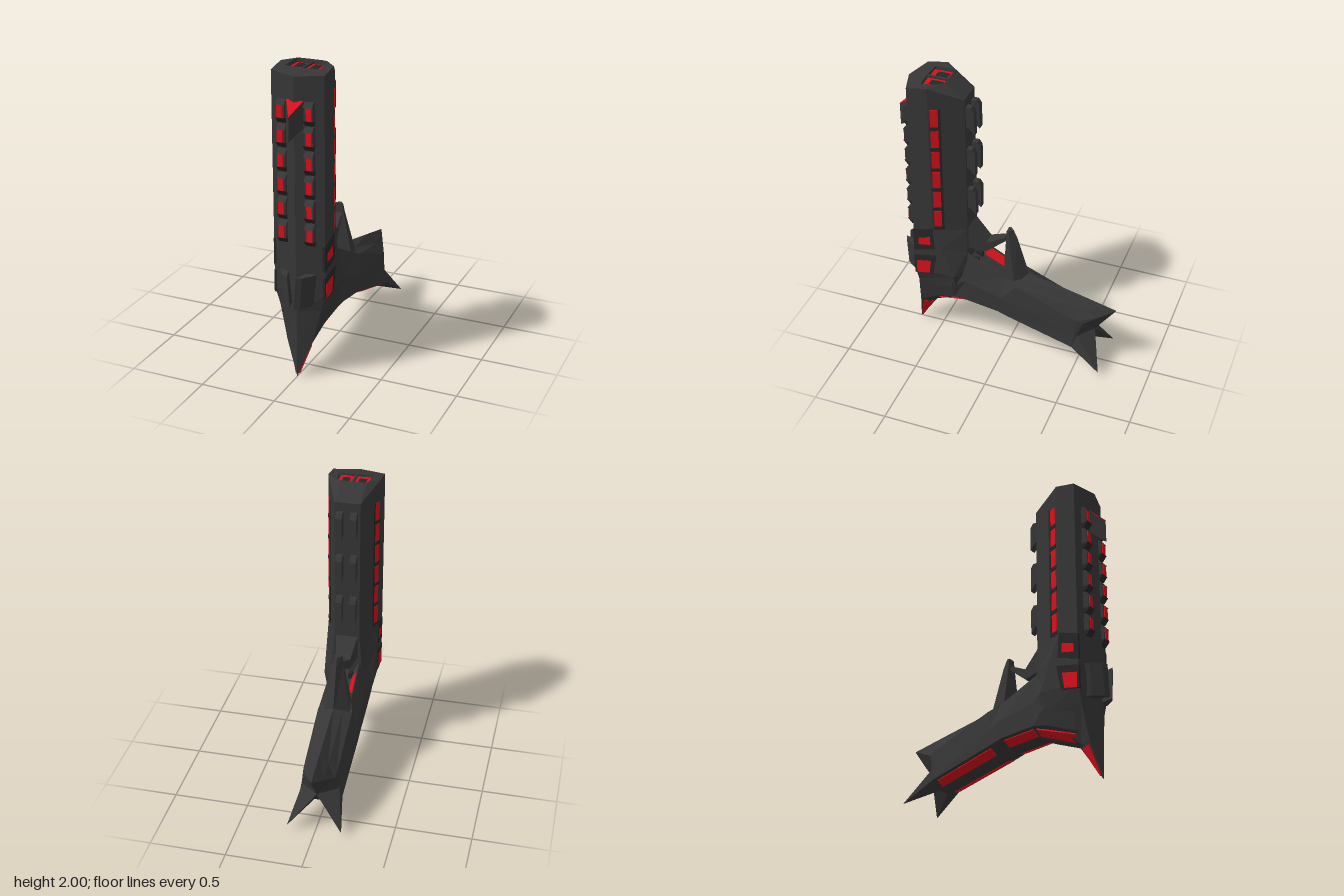
import * as THREE from 'three';

const dark = new THREE.MeshStandardMaterial({ color: 0x363636, flatShading: true });
const deep = new THREE.MeshStandardMaterial({ color: 0x262626, flatShading: true });
const red = new THREE.MeshStandardMaterial({ color: 0xd8101c, flatShading: true });
const V = (x, y, z) => new THREE.Vector3(x, y, z);

// Closed solid from polygons; the winding is turned outward by the sign of its volume
function solid(name, faces, mat) {
  const tris = [];
  let volume = 0;
  for (const f of faces) {
    for (let i = 1; i < f.length - 1; i++) {
      const [a, b, c] = [f[0], f[i], f[i + 1]];
      const n = b.clone().sub(a).cross(c.clone().sub(a));
      if (n.length() < 1e-8) continue;
      volume += a.dot(b.clone().cross(c));
      tris.push([a, b, c]);
    }
  }
  const pts = tris.flatMap(t => (volume < 0 ? [t[0], t[2], t[1]] : t));
  const geo = new THREE.BufferGeometry().setFromPoints(pts);
  geo.computeVertexNormals();
  const mesh = new THREE.Mesh(geo, mat);
  mesh.name = name;
  return mesh;
}

// Skin between rings of equal length, optionally closing the end on a centre point
function loft(name, rings, mat, endPoint) {
  const faces = [], n = rings[0].length;
  for (let r = 0; r < rings.length - 1; r++) {
    for (let i = 0; i < n; i++) {
      const j = (i + 1) % n;
      faces.push([rings[r][i], rings[r][j], rings[r + 1][j], rings[r + 1][i]]);
    }
  }
  faces.push([...rings[0]].reverse());
  const last = rings[rings.length - 1];
  if (endPoint) last.forEach((p, i) => faces.push([p, last[(i + 1) % n], endPoint]));
  else faces.push(last);
  return solid(name, faces, mat);
}

// Full ring from its +x half
const mirrorRing = half => {
  const h = half.map(p => V(...p));
  return [...h, ...h.map(p => V(-p.x, p.y, p.z)).reverse()];
};
const prism = (name, a, b, mat) => loft(name, [a, b], mat);
// Side outline of [z, y] points, given thickness along x
const plate = (name, outline, x0, x1, mat) => prism(name,
  outline.map(([z, y]) => V(x0, y, z)), outline.map(([z, y]) => V(x1, y, z)), mat);

// Thin panel laid on a four-cornered face, inset from its borders
function panel(name, quad, inU, inV, lift, mat) {
  const [a, b, c, d] = quad;
  const at = (u, v) => a.clone().lerp(b, u).lerp(d.clone().lerp(c, u), v);
  const q = [at(inU, inV), at(1 - inU, inV), at(1 - inU, 1 - inV), at(inU, 1 - inV)];
  const n = c.clone().sub(a).cross(d.clone().sub(b)).normalize().multiplyScalar(lift);
  return prism(name, q.map(p => p.clone().add(n)), q.map(p => p.clone().sub(n)), mat);
}

function box(name, w, h, d, x, y, z, mat) {
  const m = new THREE.Mesh(new THREE.BoxGeometry(w, h, d), mat);
  m.position.set(x, y, z);
  m.name = name;
  return m;
}

export function createModel() {
  const g = new THREE.Group();
  g.name = 'model';
  const add = (...m) => g.add(...m);

  // Column: pointed foot, wide base, six-sided shaft tapering to the back, shallow opening on top
  const column = [
    [[0, 0, 0.672], [0.002, 0.005, 0.67], [0.002, 0.005, 0.668], [0.001, 0.005, 0.666]],
    [[0, 0.23, 0.67], [0.085, 0.23, 0.63], [0.06, 0.225, 0.56], [0.03, 0.22, 0.53]],
    [[0, 0.46, 0.67], [0.14, 0.46, 0.61], [0.145, 0.42, 0.34], [0.1, 0.38, 0.28]],
    [[0, 0.57, 0.67], [0.172, 0.57, 0.615], [0.172, 0.57, 0.34], [0.11, 0.57, 0.27]],
    [[0, 0.78, 0.67], [0.172, 0.78, 0.615], [0.172, 0.78, 0.42], [0.1, 0.75, 0.27]],
    [[0, 0.93, 0.67], [0.172, 0.93, 0.615], [0.172, 0.93, 0.48], [0.085, 0.93, 0.27]],
    [[0, 1.965, 0.67], [0.172, 1.974, 0.615], [0.172, 1.996, 0.48], [0.085, 1.91, 0.27]],
    [[0, 1.985, 0.55], [0.115, 1.987, 0.54], [0.1, 2, 0.41], [0.07, 2, 0.4]],
    [[0, 1.965, 0.55], [0.113, 1.965, 0.535], [0.098, 1.965, 0.412], [0.07, 1.965, 0.405]],
  ].map(mirrorRing);
  add(loft('column', column, dark));

  // Twin wells in the top opening
  add(box('topDivider', 0.016, 0.03, 0.14, 0, 1.972, 0.475, dark));
  for (const s of [-1, 1]) {
    add(box('topWell', 0.09, 0.02, 0.124, s * 0.054, 1.964, 0.475, red));
    add(box('topWellFloor', 0.05, 0.02, 0.08, s * 0.053, 1.966, 0.465, deep));
  }

  // Rear body and tail: keel, lower side, mid side, upper side, top shoulder, top centre
  const tail = [
    [[0.03, 0.22, 0.55], [0.1, 0.3, 0.55], [0.13, 0.42, 0.55], [0.13, 0.55, 0.55], [0.08, 0.66, 0.55], [0, 0.66, 0.55]],
    [[0.04, 0.3, 0.34], [0.135, 0.365, 0.36], [0.16, 0.48, 0.36], [0.17, 0.6, 0.36], [0.08, 0.7, 0.34], [0, 0.7, 0.34]],
    [[0.045, 0.33, 0.27], [0.145, 0.375, 0.27], [0.14, 0.53, 0.27], [0.09, 0.74, 0.27], [0.045, 0.66, 0.27], [0, 0.66, 0.27]],
    [[0.045, 0.3, 0.04], [0.15, 0.345, 0.04], [0.145, 0.46, 0.02], [0.09, 0.6, 0], [0.045, 0.53, 0], [0, 0.53, 0]],
    [[0.045, 0.275, -0.03], [0.15, 0.32, -0.03], [0.142, 0.43, -0.06], [0.115, 0.56, -0.08], [0.0575, 0.585, -0.105], [0, 0.61, -0.13]],
    [[0.045, 0.14, -0.48], [0.142, 0.18, -0.48], [0.125, 0.27, -0.49], [0.11, 0.385, -0.5], [0.055, 0.452, -0.5], [0, 0.52, -0.5]],
    [[0.04, 0.14, -0.5], [0.18, 0.045, -0.685], [0.115, 0.262, -0.51], [0.1, 0.365, -0.54], [0.05, 0.413, -0.64], [0, 0.46, -0.74]],
  ].map(mirrorRing);
  add(loft('tail', tail, dark, V(0, 0.265, -0.6)));

  // Hammer behind the column and the spur that reaches towards it
  add(loft('hammer', [[0.54, 0.1, -0.06, -0.15], [0.88, 0.035, 0, -0.045], [0.937, 0.025, 0.005, -0.02]]
    .map(([y, w, mid, back]) => mirrorRing([[w, y, 0.02], [w, y, mid], [0, y, back]])), dark));
  add(loft('spur', [[0.28, 0.77, 0.94, 0.075], [0.155, 0.75, 0.82, 0.048], [0.03, 0.85, 0.88, 0.026]]
    .map(([z, lo, hi, w]) => mirrorRing([[w, lo, z], [w, hi, z]])), dark));

  // Beak at the upper front: red top face over a dark wedge
  const beak = [V(-0.055, 1.815, 0.655), V(0.055, 1.815, 0.655), V(0, 1.735, 0.745)];
  const under = [V(-0.055, 1.66, 0.645), V(0.055, 1.66, 0.645), V(0, 1.585, 0.745)];
  add(prism('beak', beak, under, dark));
  add(prism('beakTop', beak.map(p => p.clone().add(V(0, 0.005, 0.002))), beak, red));

  for (const s of [-1, 1]) {
    const side = i => (s > 0 ? i : 11 - i);

    // Red strips along the underside and the back of the foot
    const [k, l] = [side(0), side(1)];
    for (const [i, j] of [[0, 2], [2, 3], [4, 5]]) {
      add(panel('undersideStrip', [tail[i][k], tail[j][k], tail[j][l], tail[i][l]], 0.04, 0.2, 0.006, red));
    }
    const [ca, ck] = s > 0 ? [1, 3] : [6, 4];
    add(panel('footStrip', [column[0][ca], column[1][ca], column[1][ck], column[0][ck]], 0.08, 0.15, 0.009, red));

    // Red walls of the trench ahead of the hammer, with small steps
    const [m, t] = [side(3), side(4)];
    add(panel('trenchWall', [tail[2][m], tail[3][m], tail[3][t], tail[2][t]], 0.25, 0.15, 0.004, red));
    add(box('trenchStep', 0.025, 0.04, 0.05, s * 0.035, 0.65, 0.235, deep));

    // Slots on the slanted rear sides of the shaft, each with a sill and a jamb
    const onSide = (name, y, h, z0, z1, lift, mat) => add(panel(name,
      [[z0, y - h / 2], [z1, y - h / 2], [z1, y + h / 2], [z0, y + h / 2]]
        .map(([z, py]) => V(s * (0.172 - (0.48 - z) * 0.414), py, z)), 0, 0, lift, mat));

    for (let i = 0; i < 6; i++) {
      const y = 1.785 - i * 0.153;
      onSide('sideSlot', y, 0.122, 0.467, 0.421, 0.003, red);
      onSide('sideSlotJamb', y, 0.135, 0.421, 0.406, 0.005, deep);
      onSide('sideSlotSill', y - 0.073, 0.024, 0.472, 0.406, 0.005, deep);

      // Front vents: red glow boxed in by slanted hoods, sills and jambs
      const v = 1.745 - i * 0.153;
      add(box('frontVent', 0.036, 0.085, 0.06, s * 0.094, v, 0.645, red));
      add(plate('frontVentHood', [[0.61, v + 0.07], [0.65, v + 0.07], [0.678, v + 0.04], [0.61, v + 0.04]],
        s * 0.06, s * 0.118, dark));
      add(plate('frontVentSill', [[0.61, v - 0.04], [0.678, v - 0.04], [0.65, v - 0.075], [0.61, v - 0.075]],
        s * 0.06, s * 0.118, deep));
      for (const x of [0.068, 0.115]) add(box('frontVentJamb', 0.01, 0.09, 0.06, s * x, v, 0.64, dark));
    }

    // Hooked fins on the back
    for (const y of [1.85, 1.545, 1.24]) {
      add(plate('backFin', [[0.25, y - 0.15], [0.28, y - 0.15], [0.28, y], [0.235, y], [0.215, y - 0.03],
        [0.215, y - 0.195]], s * 0.025, s * 0.068, dark));
    }

    // Splayed claw plates at the lower front
    const claw = [[0.125, 0.62], [0.112, 0.66], [0.065, 0.722], [0.03, 0.738], [0.06, 0.64]];
    add(prism('clawPlate', claw.map(([x, z]) => V(s * x, 0.715, z)),
      claw.map(([x, z]) => V(s * (x - 0.018), 0.505, z)), dark));

    // Framed windows low on the sides
    const windows = [
      [[[0.62, 0.9], [0.48, 0.94], [0.47, 0.77], [0.62, 0.73]], [[0.585, 0.84], [0.5, 0.865], [0.5, 0.8], [0.585, 0.785]]],
      [[[0.62, 0.69], [0.46, 0.72], [0.49, 0.55], [0.62, 0.54]], [[0.605, 0.645], [0.5, 0.665], [0.515, 0.56], [0.605, 0.545]]],
    ];
    for (const [frame, glass] of windows) {
      add(plate('sideWindowFrame', frame, s * 0.15, s * 0.173, deep));
      add(plate('sideWindow', glass, s * 0.15, s * 0.174, red));
    }
  }
  return g;
}
